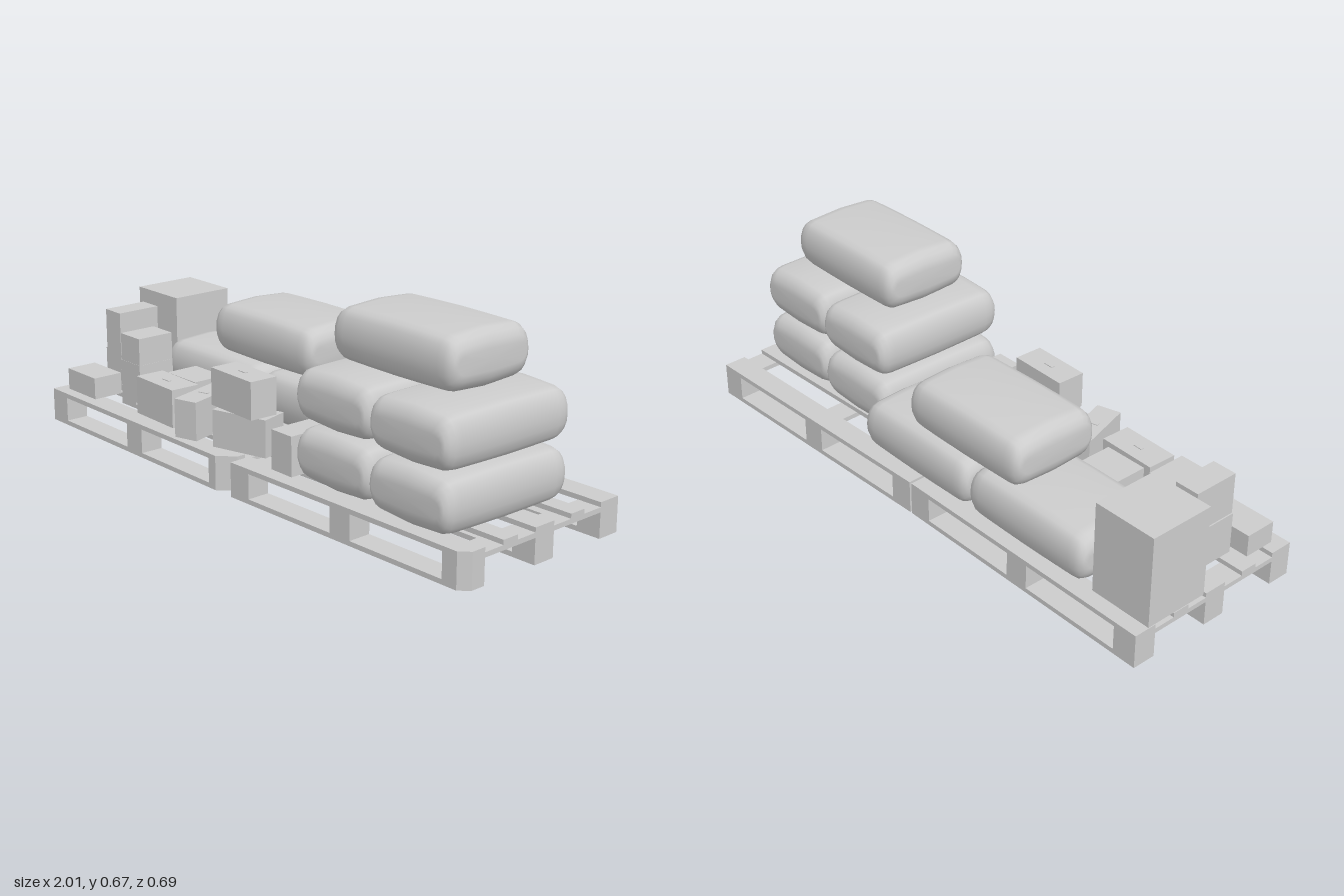
import * as THREE from 'three';

const grey = new THREE.MeshStandardMaterial({ color: 0xcccccc });
grey.name = 'plain grey';

function add(parent, name, geometry, x, y, z, turn = 0) {
  const mesh = new THREE.Mesh(geometry, grey);
  mesh.name = name;
  mesh.position.set(x, y, z);
  mesh.rotation.y = turn;
  parent.add(mesh);
  return mesh;
}

// Plank or block lying flat, with its front right corner cut off by c
function plank(w, h, d, c = 0) {
  if (!c) return new THREE.BoxGeometry(w, h, d);
  const s = new THREE.Shape([
    new THREE.Vector2(-w / 2, -d / 2), new THREE.Vector2(w / 2 - c, -d / 2),
    new THREE.Vector2(w / 2, -d / 2 + c), new THREE.Vector2(w / 2, d / 2),
    new THREE.Vector2(-w / 2, d / 2),
  ]);
  return new THREE.ExtrudeGeometry(s, { depth: h, bevelEnabled: false })
    .translate(0, 0, -h / 2).rotateX(-Math.PI / 2);
}

// Pallet: runners, nine blocks, cross boards and five top boards
function pallet(name, x, z, turn, cut) {
  const g = new THREE.Group();
  g.name = name;
  const L = 0.99;
  for (const row of [-0.29, 0, 0.29]) {
    const c = row > 0 ? cut : 0;
    add(g, 'bottomRunner', plank(L, 0.016, 0.08, c), 0, 0.008, row);
    for (const i of [-1, 0, 1]) {
      add(g, 'block', plank(0.085, 0.068, 0.08, i > 0 ? c : 0), i * (L / 2 - 0.0425), 0.05, row);
    }
    add(g, 'topBoard', plank(L, 0.016, 0.08, c), 0, 0.107, row);
  }
  for (const row of [-0.145, 0.145]) {
    add(g, 'narrowTopBoard', plank(L, 0.016, 0.06), 0, 0.107, row);
  }
  for (const i of [-1, 0, 1]) {
    add(g, 'crossBoard', plank(0.085, 0.016, 0.66, i > 0 ? cut : 0), i * (L / 2 - 0.0425), 0.0915, 0);
  }
  g.position.set(x, 0, z);
  g.rotation.y = turn;
  return g;
}

// Stuffed sack lofted along x: rounded ends, slightly crowned top and bottom
function sackGeometry() {
  const quarter = [[0.165, 0], [0.163, 0.03], [0.154, 0.06], [0.14, 0.077], [0.12, 0.085], [0.06, 0.089], [0, 0.0925]];
  const ring = [
    ...quarter,
    ...quarter.slice(0, -1).reverse().map(([z, y]) => [-z, y]),
    ...quarter.slice(1).map(([z, y]) => [-z, -y]),
    ...quarter.slice(1, -1).reverse().map(([z, y]) => [z, -y]),
  ];
  // distance along x, height scale, width scale
  const end = [[0.2525, 0, 0], [0.2525, 0.35, 0.83], [0.247, 0.58, 0.9], [0.236, 0.79, 0.96],
    [0.219, 0.92, 0.99], [0.195, 0.96, 1], [0.1, 0.985, 1]];
  const sections = [...end.map(([x, h, w]) => [-x, h, w]), [0, 1, 1], ...end.slice().reverse()];
  const pos = [], idx = [], n = ring.length;
  for (const [x, h, w] of sections) for (const [z, y] of ring) pos.push(x, y * h, z * w);
  for (let i = 0; i < sections.length - 1; i++) {
    for (let j = 0; j < n; j++) {
      const a = i * n + j, b = i * n + (j + 1) % n, c = a + n, d = b + n;
      if (i > 0) idx.push(a, c, b);
      if (i < sections.length - 2) idx.push(b, c, d);
      else idx.push(a, c, b);
      if (i === 0) idx.push(a, c, d);
    }
  }
  // the last strip only needs one triangle per side
  const geo = new THREE.BufferGeometry();
  geo.setAttribute('position', new THREE.Float32BufferAttribute(pos, 3));
  geo.setIndex(idx);
  // make the winding face outwards
  const p = geo.attributes.position, A = new THREE.Vector3(), B = new THREE.Vector3(), C = new THREE.Vector3();
  for (let t = 0; t < idx.length; t += 3) {
    A.fromBufferAttribute(p, idx[t]); B.fromBufferAttribute(p, idx[t + 1]); C.fromBufferAttribute(p, idx[t + 2]);
    const mid = A.clone().add(B).add(C);
    const normal = B.clone().sub(A).cross(C.clone().sub(A));
    if (normal.dot(mid) < 0) [idx[t + 1], idx[t + 2]] = [idx[t + 2], idx[t + 1]];
  }
  geo.setIndex(idx);
  geo.computeVertexNormals();
  // both end centres share the axis normal
  for (let j = 0; j < n; j++) {
    geo.attributes.normal.setXYZ(j, -1, 0, 0);
    geo.attributes.normal.setXYZ((sections.length - 1) * n + j, 1, 0, 0);
  }
  return geo;
}

export function createModel() {
  const model = new THREE.Group();
  model.name = 'loadedPallets';

  model.add(pallet('rightPallet', -0.505, 0.01, 0, 0.05));
  model.add(pallet('leftPallet', 0.503, -0.005, 0.03, 0.03));

  // Sacks: centre x, y, z and turn
  const sack = sackGeometry();
  const across = Math.PI / 2;
  const sacks = [
    [-0.508, 0.208, -0.14, 0], [0.003, 0.208, -0.14, 0], [-0.23, 0.393, -0.14, 0],
    [0.592, 0.578, 0.05, 0],
  ];
  for (const y of [0.208, 0.393]) {
    sacks.push([0.435, y, 0.047, across], [0.77, y, 0.06, across]);
  }
  for (const [x, y, z, turn] of sacks) add(model, 'sack', sack, x, y, z, turn);

  // Cartons: name, centre x, bottom, centre z, width, height, depth, turn, flap
  const cartons = [
    ['largeCarton', -0.885, 0.115, -0.153, 0.225, 0.31, 0.228, 0],
    ['lowCarton', -0.878, 0.115, 0.245, 0.165, 0.075, 0.11, 0],
    ['rearLowerCarton', -0.865, 0.115, 0.09, 0.09, 0.14, 0.16, 0],
    ['rearUpperCarton', -0.863, 0.255, 0.09, 0.085, 0.14, 0.16, 0],
    ['stackLowerCarton', -0.735, 0.115, 0.12, 0.11, 0.125, 0.14, 0],
    ['stackUpperCarton', -0.735, 0.24, 0.12, 0.108, 0.095, 0.138, 0],
    ['middleRearCarton', -0.48, 0.115, 0.1, 0.155, 0.125, 0.12, 0],
    ['middleFrontCarton', -0.47, 0.115, 0.225, 0.21, 0.13, 0.105, -0.03, 1],
    ['turnedCarton', -0.28, 0.115, 0.215, 0.085, 0.13, 0.205, 0.29, 1],
    ['pileLowerCarton', -0.05, 0.115, 0.215, 0.205, 0.125, 0.1, 0.28],
    ['pileUpperCarton', -0.068, 0.24, 0.217, 0.21, 0.125, 0.1, -0.03, 1],
    ['endCarton', 0.197, 0.115, 0.18, 0.095, 0.13, 0.205, 0],
  ];
  for (const [name, x, y, z, w, h, d, turn, flap] of cartons) {
    add(model, name, new THREE.BoxGeometry(w, h, d), x, y + h / 2, z, turn);
    if (flap) add(model, 'cartonTab', new THREE.BoxGeometry(0.035, 0.003, 0.012), x, y + h + 0.001, z, turn);
  }
  return model;
}
